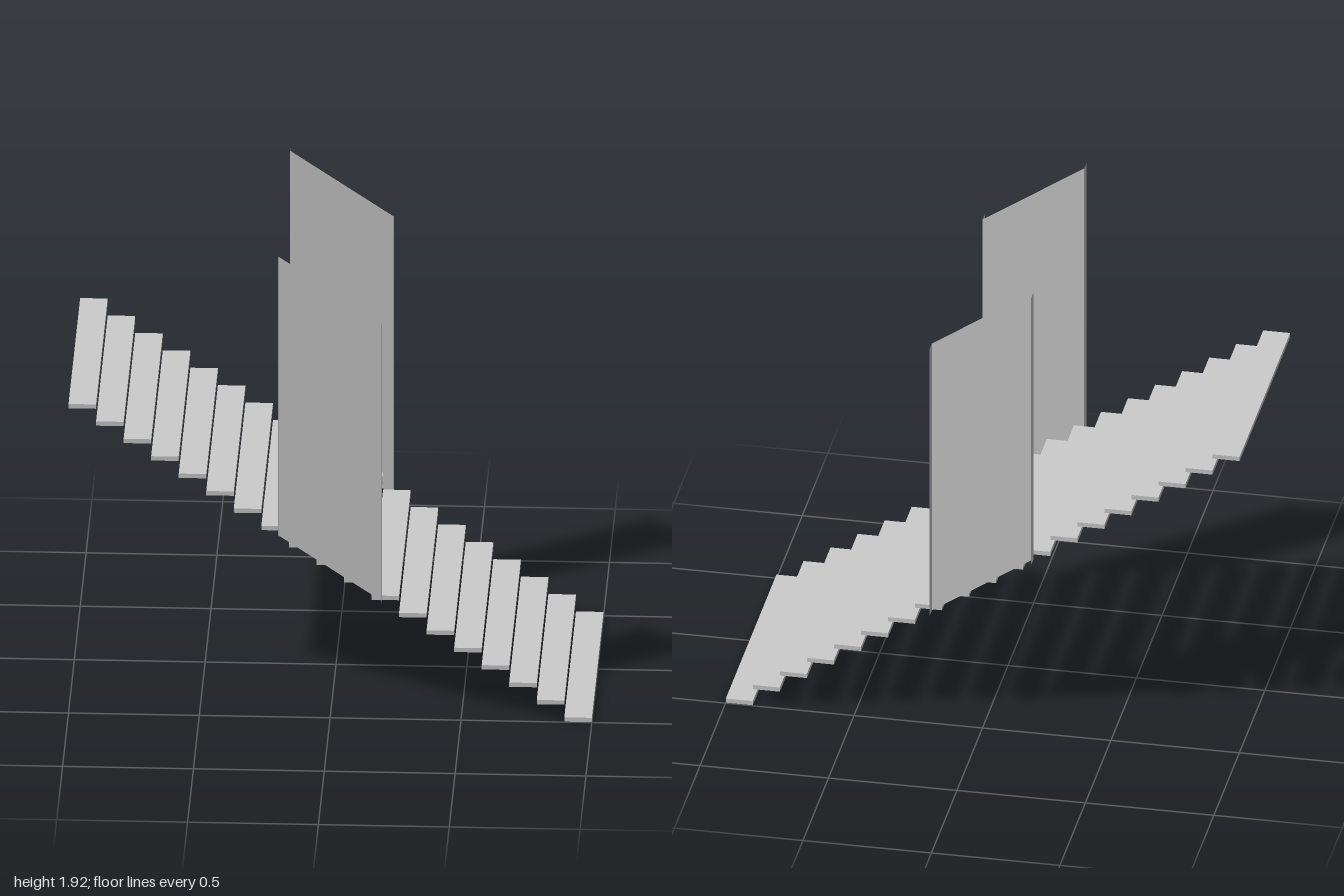
import * as THREE from 'three';

const TREADS = 19, RUN = 2 / TREADS, RISE = 0.0707, THICK = 0.018;
const INNER = 0.496, OUTER = 0.541, HALF = 0.198;

const treadMaterial = new THREE.MeshStandardMaterial({ color: 0xcccccc });
const sheetMaterial = new THREE.MeshStandardMaterial({ color: 0xcccccc, side: THREE.DoubleSide });

// Thin four-cornered sheet
function sheet(name, corners) {
  const geometry = new THREE.BufferGeometry();
  geometry.setAttribute('position', new THREE.Float32BufferAttribute(corners.flat(), 3));
  geometry.setIndex([0, 1, 2, 0, 2, 3]);
  geometry.computeVertexNormals();
  const mesh = new THREE.Mesh(geometry, sheetMaterial);
  mesh.name = name;
  return mesh;
}

// Sloped side panel with a flange folded outward along each upright edge
function sidePanel(side) {
  const panel = new THREE.Group();
  panel.name = side > 0 ? 'frontPanel' : 'backPanel';
  const zi = side * INNER, zo = side * OUTER;
  const ends = [
    { x: -HALF, low: 0.757, high: 1.923 },
    { x: HALF, low: 0.49, high: 1.656 },
  ];
  const [a, b] = ends;
  const web = [[a.x, a.low, zi], [b.x, b.low, zi], [b.x, b.high, zi], [a.x, a.high, zi]];
  panel.add(sheet('panelWeb', side > 0 ? web : web.reverse()));
  for (const { x, low, high } of ends) {
    const flange = [[x, low, zo], [x, low, zi], [x, high, zi], [x, high, zo]];
    panel.add(sheet('panelFlange', x * side > 0 ? flange : flange.reverse()));
  }
  return panel;
}

export function createModel() {
  const model = new THREE.Group();
  model.name = 'openStair';

  // Treads descending towards +x
  const treads = new THREE.Group();
  treads.name = 'treads';
  const geometry = new THREE.BoxGeometry(RUN, THICK, 2 * INNER);
  for (let i = 0; i < TREADS; i++) {
    const tread = new THREE.Mesh(geometry, treadMaterial);
    tread.name = 'tread';
    tread.position.set(1 - (i + 0.5) * RUN, THICK / 2 + i * RISE, 0);
    treads.add(tread);
  }
  model.add(treads);

  // Panels on both sides
  for (const side of [1, -1]) model.add(sidePanel(side));
  return model;
}
